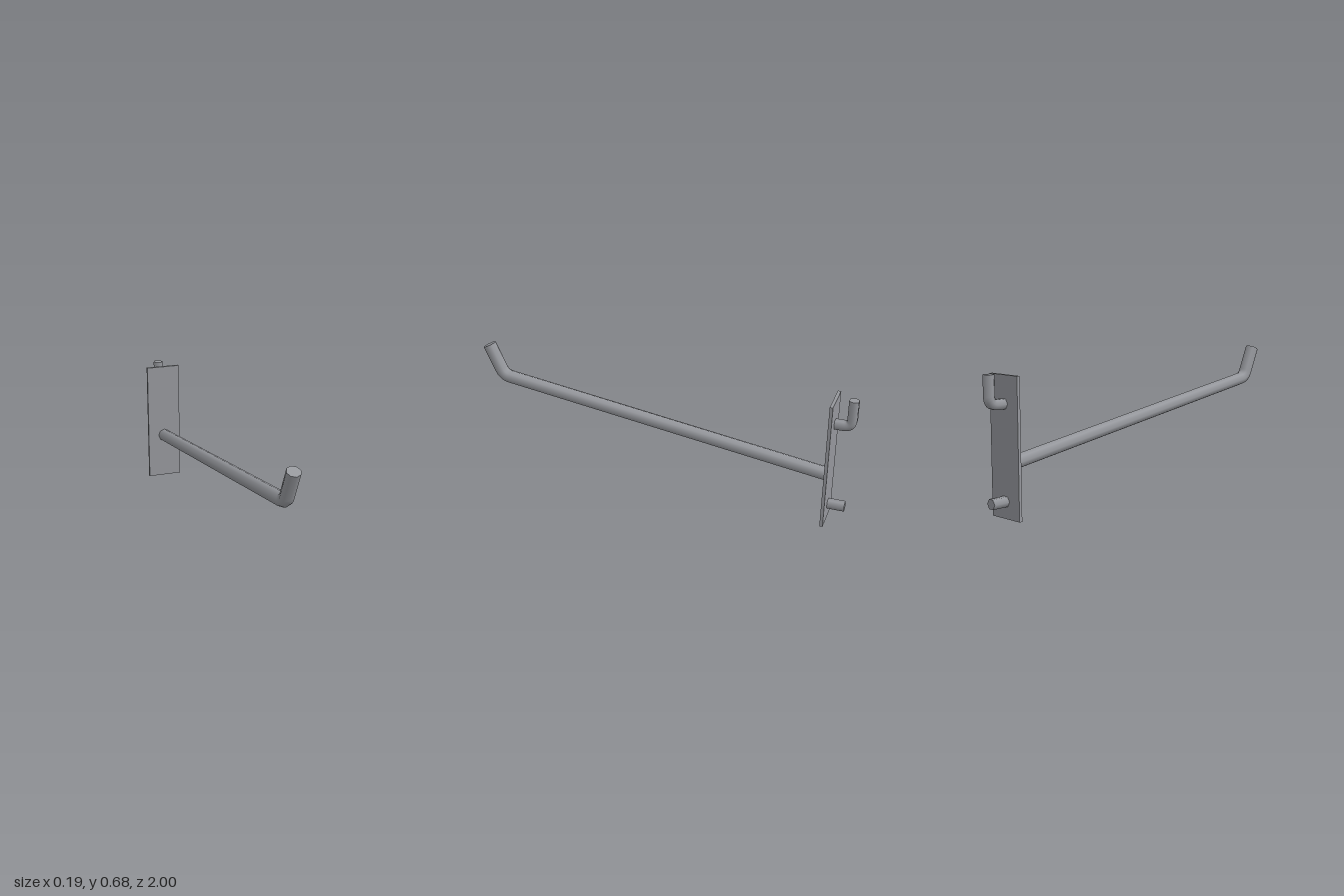
import * as THREE from 'three';

const X = new THREE.Vector3(1, 0, 0);
const P = (y, z) => new THREE.Vector3(0, y, z);

// Solid rod swept along stations {p, t} lying in the x = 0 plane, with flat end caps
function rodGeometry(stations, radius, sides) {
  const pos = [], nor = [], idx = [];
  const addRing = (s, capNormal) => {
    const start = pos.length / 3;
    const up = new THREE.Vector3().crossVectors(s.t, X).normalize();
    for (let j = 0; j < sides; j++) {
      const a = (j / sides) * Math.PI * 2;
      const out = X.clone().multiplyScalar(Math.cos(a)).addScaledVector(up, Math.sin(a));
      pos.push(...s.p.clone().addScaledVector(out, radius).toArray());
      nor.push(...(capNormal || out).toArray());
    }
    return start;
  };
  const rings = stations.map((s) => addRing(s));
  for (let i = 0; i < rings.length - 1; i++) {
    for (let j = 0; j < sides; j++) {
      const k = (j + 1) % sides;
      const a = rings[i] + j, b = rings[i] + k, c = rings[i + 1] + k, d = rings[i + 1] + j;
      idx.push(a, b, c, a, c, d);
    }
  }
  const first = stations[0], last = stations[stations.length - 1];
  const c0 = addRing(first, first.t.clone().negate());
  const c1 = addRing(last, last.t);
  for (let j = 1; j < sides - 1; j++) {
    idx.push(c0, c0 + j + 1, c0 + j, c1, c1 + j, c1 + j + 1);
  }
  const g = new THREE.BufferGeometry();
  g.setAttribute('position', new THREE.Float32BufferAttribute(pos, 3));
  g.setAttribute('normal', new THREE.Float32BufferAttribute(nor, 3));
  g.setIndex(idx);
  return g;
}

// Straight run, rounded corner, straight run
function bentPath(start, corner, end, cut, steps) {
  const t0 = corner.clone().sub(start).normalize();
  const t1 = end.clone().sub(corner).normalize();
  const bend = new THREE.QuadraticBezierCurve3(
    corner.clone().addScaledVector(t0, -cut), corner, corner.clone().addScaledVector(t1, cut));
  const stations = [{ p: start, t: t0 }];
  for (let i = 0; i <= steps; i++) {
    stations.push({ p: bend.getPoint(i / steps), t: bend.getTangent(i / steps) });
  }
  stations.push({ p: end, t: t1 });
  return stations;
}

export function createModel() {
  const group = new THREE.Group();
  const steel = new THREE.MeshStandardMaterial({ color: 0x96989d });
  steel.name = 'grey steel';
  const add = (name, geometry) => {
    const mesh = new THREE.Mesh(geometry, steel);
    mesh.name = name;
    group.add(mesh);
    return mesh;
  };

  // Upright mounting plate
  add('backPlate', new THREE.BoxGeometry(0.19, 0.667, 0.016)).position.set(0, 0.3335, -0.886);

  // Long sloping arm with an upturned tip
  add('arm', rodGeometry(bentPath(P(0.25, -0.886), P(0.503, 0.892), P(0.668, 0.968), 0.038, 6), 0.035, 8));

  // Upper hook behind the plate, bent upwards
  add('upperHook', rodGeometry(bentPath(P(0.535, -0.886), P(0.535, -0.9766), P(0.675, -0.9766), 0.04, 6), 0.027, 6));

  // Lower locating peg
  const back = new THREE.Vector3(0, 0, -1);
  add('lowerPeg', rodGeometry([{ p: P(0.083, -0.886), t: back }, { p: P(0.083, -0.98), t: back }], 0.027, 6));

  return group;
}
